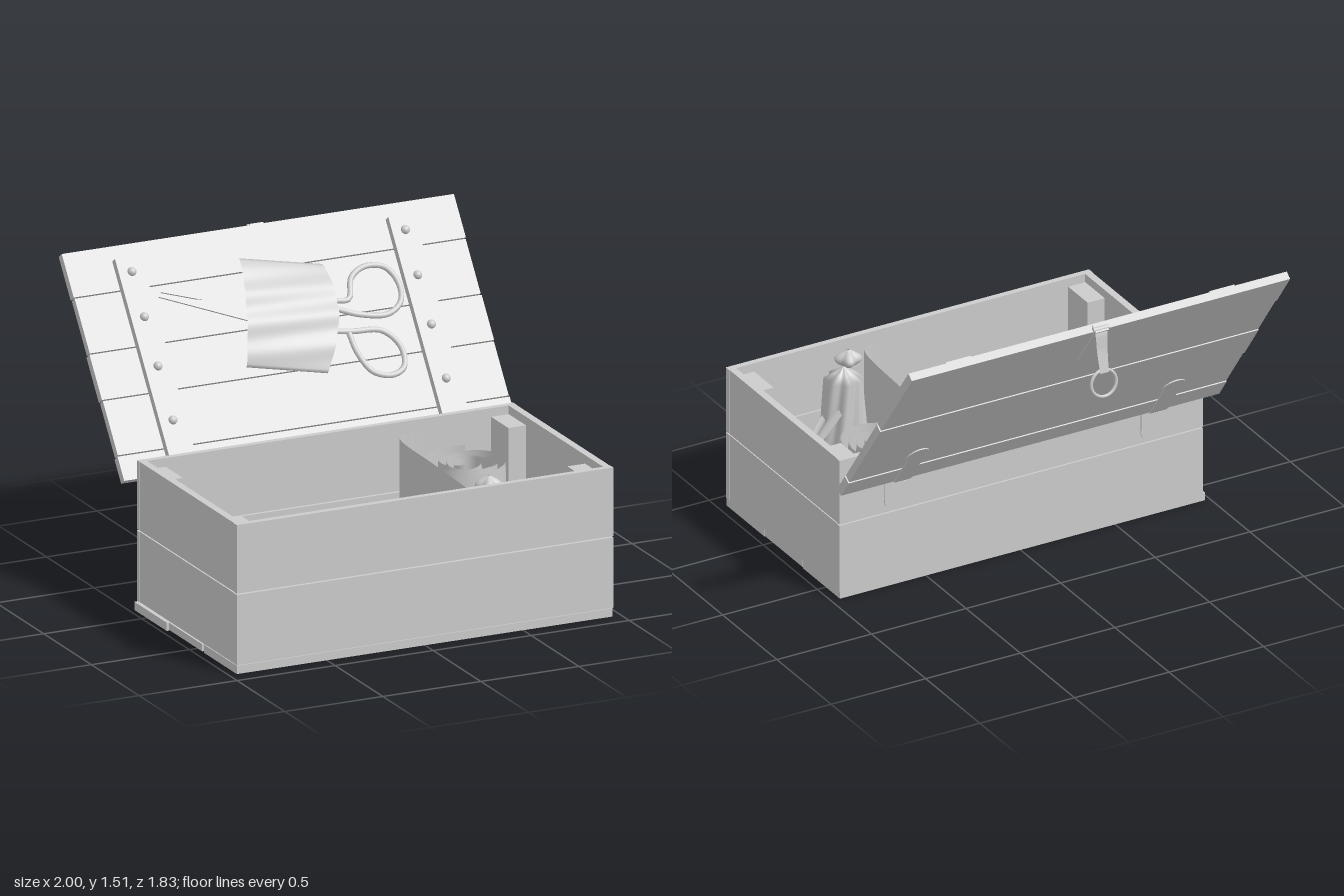
import * as THREE from 'three';
import { ParametricGeometry } from 'three/addons/geometries/ParametricGeometry.js';

const wood = new THREE.MeshStandardMaterial({ color: 0xcccccc });
const thin = new THREE.MeshStandardMaterial({ color: 0xcccccc, side: THREE.DoubleSide });
const V3 = (x, y, z) => new THREE.Vector3(x, y, z);

function add(parent, name, geometry, material = wood) {
  const mesh = new THREE.Mesh(geometry, material);
  mesh.name = name;
  parent.add(mesh);
  return mesh;
}

// Box given by its limits on each axis
function block(parent, name, x0, x1, y0, y1, z0, z1) {
  const mesh = add(parent, name, new THREE.BoxGeometry(x1 - x0, y1 - y0, z1 - z0));
  mesh.position.set((x0 + x1) / 2, (y0 + y1) / 2, (z0 + z1) / 2);
  return mesh;
}

// Smooth sheet from a rule (u, v) => [x, y, z]
function sheet(parent, name, rule, us, vs) {
  return add(parent, name, new ParametricGeometry((u, v, t) => t.set(...rule(u, v)), us, vs), thin);
}

// Draped cloth lying on the floor between four [x, z] corners
function drapedCloth(parent, name, [a, b, c, d], height, ripple, seed) {
  return sheet(parent, name, (u, v) => {
    const mix = (k) => (a[k] * (1 - u) + b[k] * u) * (1 - v) + (d[k] * (1 - u) + c[k] * u) * v;
    const edge = (1 - Math.abs(2 * u - 1) ** 6) * (1 - Math.abs(2 * v - 1) ** 6);
    const wave = Math.sin(7 * u + 5 * v + seed) + 0.6 * Math.sin(13 * v - 6 * u + 2 * seed);
    const x = mix(0) + 0.012 * Math.sin(9 * v + seed);
    const z = mix(1) + 0.012 * Math.sin(8 * u + seed);
    return [x, 0.045 + edge ** 0.3 * (height + ripple * wave), z];
  }, 36, 36);
}

// Thin metal strap: narrow bar ending in a wider round head, drawn upwards from y = 0
function strapGeometry(halfWidth, length, head) {
  const s = new THREE.Shape();
  s.moveTo(-halfWidth, 0);
  s.lineTo(halfWidth, 0);
  s.lineTo(halfWidth, length - head);
  s.absarc(0, length - head, head, -0.5, Math.PI + 0.5, false);
  s.lineTo(-halfWidth, length - head);
  return new THREE.ExtrudeGeometry(s, { depth: 0.006, bevelEnabled: false, curveSegments: 12 });
}

function buildCrate() {
  const crate = new THREE.Group();
  crate.name = 'crate';
  // Three floor boards
  [[-0.13, 0.21, -0.975], [0.216, 0.562, -0.965], [0.568, 0.915, -0.96]].forEach(([z0, z1, x0], i) =>
    block(crate, 'floorBoard', x0, 0.955, i === 1 ? 0.005 : 0, 0.04, z0, z1));
  // Two courses of wall boards
  for (const [y0, y1] of [[0.042, 0.382], [0.388, 0.72]]) {
    block(crate, 'frontBoard', -0.96, 0.96, y0, y1, 0.885, 0.915);
    block(crate, 'backBoard', -0.96, 0.96, y0, y1, -0.135, -0.105);
    for (const s of [-1, 1])
      block(crate, 'endBoard', s * 0.94 - 0.018, s * 0.94 + 0.018, y0, y1, -0.105, 0.885);
  }
  // Corner posts
  for (const s of [-1, 1])
    for (const z of [-0.1, 0.7])
      block(crate, 'cornerPost', s * 0.875 - 0.045, s * 0.875 + 0.045, 0.04, 0.68, z, z + 0.18);
  return crate;
}

function buildScissors() {
  const scissors = new THREE.Group();
  scissors.name = 'scissors';
  const at = ([x, y], w) => V3(x, (y - 0.632) / 0.809, w);
  const loops = [
    [[0, 1.21], [0.25, 1.16], [0.36, 1.125], [0.5, 1.11], [0.58, 1.15], [0.595, 1.22], [0.55, 1.29],
      [0.45, 1.305], [0.37, 1.27], [0.33, 1.19], [0.27, 1.19], [0, 1.23]],
    [[-0.05, 1.17], [0.2, 1.08], [0.3, 1.065], [0.45, 1.05], [0.52, 0.98], [0.51, 0.9], [0.44, 0.875],
      [0.35, 0.9], [0.3, 0.98], [0.285, 1.06]],
  ];
  for (const pts of loops) {
    const curve = new THREE.CatmullRomCurve3(pts.map((p) => at(p, 0.07)));
    add(scissors, 'fingerLoop', new THREE.TubeGeometry(curve, 70, 0.014, 8));
  }
  // Pointed blades
  const blades = [
    [[-0.58, 1.325], [-0.4, 1.3], [-0.1, 1.25], [0.1, 1.21], [0.05, 1.18], [-0.2, 1.22]],
    [[-0.6, 1.305], [-0.4, 1.27], [-0.15, 1.22], [0.08, 1.2], [0, 1.15], [-0.2, 1.165]],
  ];
  blades.forEach((pts, i) => {
    const shape = new THREE.Shape(pts.map((p) => at(p, 0)));
    add(scissors, 'blade', new THREE.ExtrudeGeometry(shape, { depth: 0.01, bevelEnabled: false }), thin)
      .position.z = 0.06 + 0.012 * i;
  });
  return scissors;
}

// Lid frame: y runs up the lid, z points out of its inner face
function buildLid() {
  const lid = new THREE.Group();
  lid.name = 'lid';
  const seams = [0, 0.125, 0.397, 0.625, 0.9, 1.12];
  for (let i = 0; i < 5; i++) {
    const shift = 0.003 * (i % 2);
    block(lid, 'lidPlank', -1 + shift, 1 - shift, seams[i] + 0.003, seams[i + 1] - 0.003, shift, 0.04);
  }
  // Battens and bolts
  for (const x of [-0.697, 0.697]) {
    block(lid, 'batten', x - 0.066, x + 0.066, 0.076, 1.046, 0.04, 0.075);
    for (const y of [0.245, 0.51, 0.752, 0.974]) {
      const bolt = add(lid, 'bolt', new THREE.SphereGeometry(0.022, 12, 6, 0, Math.PI * 2, 0, Math.PI / 2));
      bolt.rotation.x = Math.PI / 2;
      bolt.position.set(x, y, 0.074);
    }
    add(lid, 'lidHingeStrap', strapGeometry(0.045, 0.3, 0.06)).position.set(x * 0.97, 0, -0.006);
  }
  const plate = add(lid, 'latchPlate', strapGeometry(0.035, 0.3, 0.036));
  plate.rotation.z = Math.PI;
  plate.position.set(0, 1.12, -0.006);
  block(lid, 'latchCap', -0.035, 0.035, 1.118, 1.126, -0.012, 0.03);
  lid.add(buildScissors());
  // Fabric band over the scissors
  sheet(lid, 'fabricBand', (u, v) => {
    const x = -0.14 - 0.11 * v + u * (0.4 - 0.01 * v) + 0.05 * Math.sin(Math.PI * v) * u;
    const y = 1.415 - 0.42 * v - u * 0.07;
    const bulge = Math.max(0, Math.sin(Math.PI * v)) ** 0.7;
    return [x, (y - 0.632) / 0.809, 0.043 + bulge * (0.052 + 0.006 * Math.sin(22 * v + 3 * u))];
  }, 16, 40);
  lid.rotation.x = -0.629;
  lid.position.set(0, 0.585, -0.215);
  return lid;
}

function buildHardware() {
  const hardware = new THREE.Group();
  hardware.name = 'hardware';
  // Hinges joining the back wall to the lid
  const bend = new THREE.CatmullRomCurve3([V3(0, 0.67, -0.142), V3(0, 0.63, -0.15), V3(0, 0.6, -0.175), V3(0, 0.58, -0.22)]);
  for (const x of [-0.677, 0.677]) {
    const strap = add(hardware, 'wallHingeStrap', strapGeometry(0.045, 0.28, 0.047));
    strap.rotation.z = Math.PI;
    strap.position.set(x, 0.68, -0.141);
    sheet(hardware, 'hingeBend', (u, v) => {
      const p = bend.getPoint(u);
      return [x + (v - 0.5) * 0.09, p.y, p.z];
    }, 12, 1);
    const pin = add(hardware, 'hingePin', new THREE.CylinderGeometry(0.013, 0.013, 0.11, 10));
    pin.rotation.z = Math.PI / 2;
    pin.position.set(x, 0.665, -0.15);
  }
  // Hanging latch with its pull ring
  const hang = new THREE.CatmullRomCurve3([V3(0, 1.5, -0.862), V3(0, 1.48, -0.875), V3(0, 1.38, -0.885), V3(0, 1.28, -0.905)]);
  sheet(hardware, 'latchTongue', (u, v) => {
    const p = hang.getPoint(u);
    return [(v - 0.5) * (0.075 - 0.03 * u), p.y, p.z];
  }, 12, 1);
  const ring = add(hardware, 'pullRing', new THREE.TorusGeometry(0.066, 0.008, 8, 28));
  ring.position.set(0, 1.225, -0.898);
  ring.rotation.x = 0.12;
  const knuckle = add(hardware, 'latchPin', new THREE.CylinderGeometry(0.012, 0.012, 0.08, 10));
  knuckle.rotation.z = Math.PI / 2;
  knuckle.position.set(0, 1.495, -0.868);
  return hardware;
}

function buildContents() {
  const contents = new THREE.Group();
  contents.name = 'contents';
  // Bent divider sheet
  const path = new THREE.CatmullRomCurve3([[0.75, -0.08], [0.42, -0.08], [0.35, -0.065], [0.325, 0], [0.31, 0.4],
    [0.285, 0.8], [0.26, 0.855], [0.2, 0.87], [-0.02, 0.87]].map(([x, z]) => V3(x, 0, z)), false, 'centripetal');
  sheet(contents, 'divider', (u, v) => {
    const p = path.getPoint(u);
    return [p.x, 0.045 + 0.62 * v, p.z];
  }, 64, 1);
  // Folded blanket, its rear layer and bunched end, and a loose rag
  drapedCloth(contents, 'blanketRear', [[-0.58, 0.11], [0.23, 0.09], [0.27, 0.6], [-0.62, 0.6]], 0.17, 0.008, 1);
  drapedCloth(contents, 'blanket', [[-0.77, 0.29], [0.12, 0.34], [0.14, 0.86], [-0.81, 0.86]], 0.24, 0.008, 2);
  [[0.08, 0.38, 0.25], [0.14, 0.33, 0.28], [0.2, 0.13, 0.3], [0.24, 0.2, 0.27]].forEach(([x, z, h], i) =>
    drapedCloth(contents, 'blanketFold', [[x - 0.04, z], [x + 0.04, z], [x + 0.01, 0.85], [x - 0.06, 0.85]], h, 0.01, i));
  drapedCloth(contents, 'rag', [[-0.75, -0.08], [-0.47, -0.08], [-0.52, 0.16], [-0.84, 0.26]], 0.12, 0.012, 4);
  // Bandage roll wound as a spiral, with a loose tail
  sheet(contents, 'bandageRoll', (u, v) => {
    const a = u * Math.PI * 9 + 2, r = (0.045 + 0.165 * u) * (1 + 0.05 * (1 - v));
    return [0.57 + r * Math.cos(a), 0.05 + v * (0.53 + 0.012 * Math.sin(1.3 * a)), 0.17 + r * Math.sin(a)];
  }, 180, 4);
  sheet(contents, 'bandageTail', (u, v) => {
    const x = 0.38 + 0.38 * u + (v - 0.5) * 0.16 * (1 - 0.4 * u);
    const z = 0.31 + 0.29 * u - (v - 0.5) * 0.1 * (1 - u) + 0.05 * v * u;
    return [x, 0.42 - 0.34 * u + 0.03 * Math.sin(9 * v + 4 * u), z];
  }, 20, 10);
  // Small crumpled bundle with a twisted top
  sheet(contents, 'smallBundle', (u, v) => {
    const a = u * Math.PI * 2 + v * 1.5;
    const r = (0.115 - 0.035 * v) * (v > 0.9 ? (1 - v) * 10 : 1) * (1 + 0.12 * Math.sin(7 * a + 5 * v));
    return [0.42 + r * Math.cos(a), 0.05 + 0.6 * v, 0.77 + r * Math.sin(a)];
  }, 56, 20);
  sheet(contents, 'bundleKnot', (u, v) => {
    const a = u * Math.PI * 2, r = 0.05 * Math.sin(Math.PI * v) * (1 + 0.2 * Math.sin(4 * a)) + 0.005;
    return [0.39 + r * Math.cos(a), 0.63 + 0.095 * v, 0.78 + r * Math.sin(a)];
  }, 28, 10);
  sheet(contents, 'bundleTail', (u, v) => [0.47 + 0.15 * u, 0.45 - 0.2 * u + 0.03 * Math.sin(6 * v),
    0.76 + (v - 0.5) * 0.14 * (1 - 0.5 * u)], 8, 8);
  return contents;
}

export function createModel() {
  const model = new THREE.Group();
  model.name = 'woodenChest';
  model.add(buildCrate(), buildLid(), buildHardware(), buildContents());
  return model;
}
